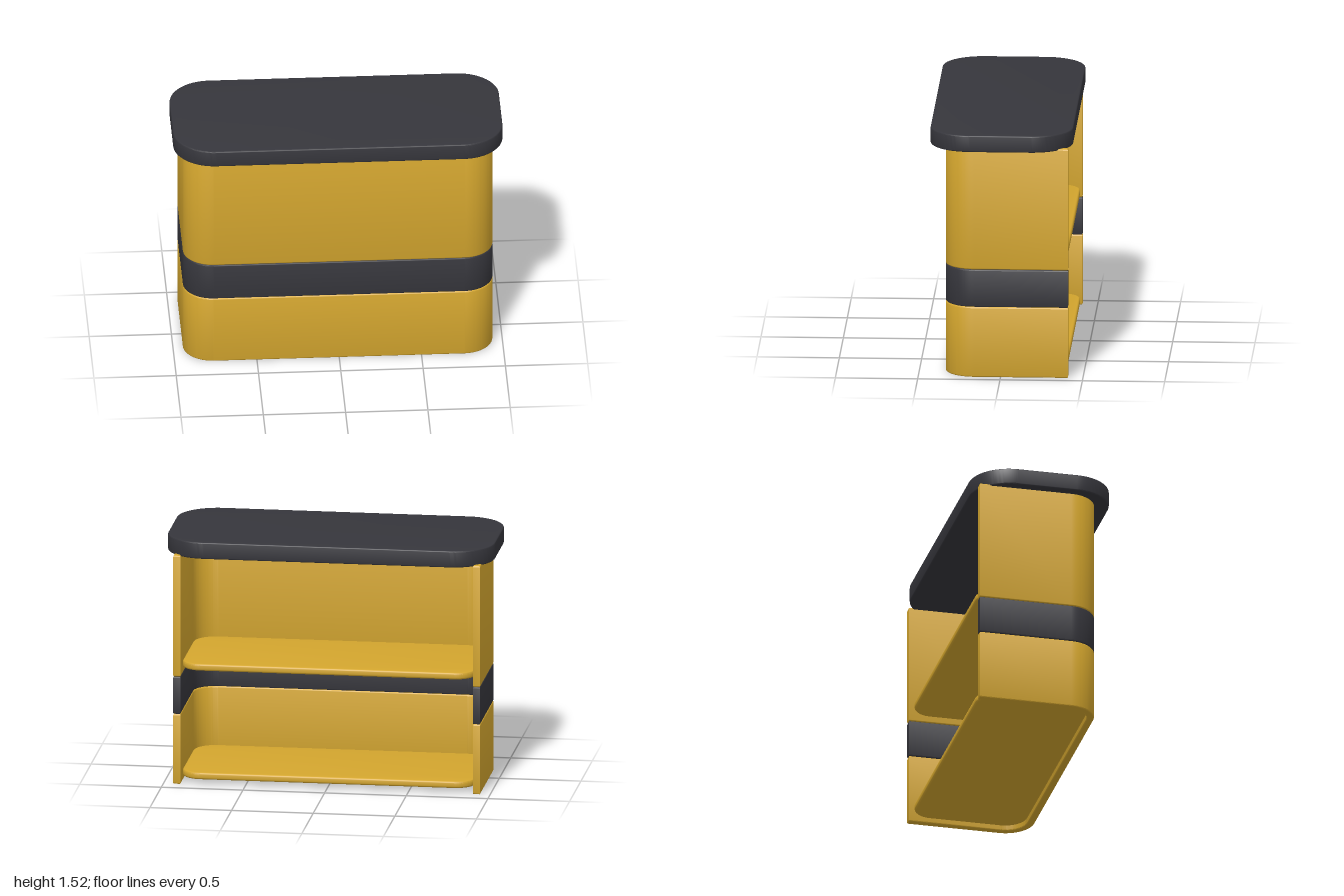
import * as THREE from 'three';
import { toCreasedNormals } from 'three/addons/utils/BufferGeometryUtils.js';

const HALF_WIDTH = 0.94, FRONT = 0.34, BACK = -0.41, WALL = 0.045;

// Rounded rectangle in plan (shape y = model z) with separate front and back radii
function roundedPlan(hx, back, front, rBack, rFront) {
  const s = new THREE.Shape();
  s.moveTo(-hx + rBack, back);
  s.lineTo(hx - rBack, back);
  s.absarc(hx - rBack, back + rBack, rBack, -Math.PI / 2, 0);
  s.lineTo(hx, front - rFront);
  s.absarc(hx - rFront, front - rFront, rFront, 0, Math.PI / 2);
  s.lineTo(-hx + rFront, front);
  s.absarc(-hx + rFront, front - rFront, rFront, Math.PI / 2, Math.PI);
  s.lineTo(-hx, back + rBack);
  s.absarc(-hx + rBack, back + rBack, rBack, Math.PI, Math.PI * 1.5);
  return s;
}

// U-shaped wall in plan, open at the back
function wallPlan() {
  const r = 0.18, ri = r - WALL, c = HALF_WIDTH - r, cz = FRONT - r, inner = HALF_WIDTH - WALL;
  const s = new THREE.Shape();
  s.moveTo(HALF_WIDTH, BACK);
  s.lineTo(HALF_WIDTH, cz);
  s.absarc(c, cz, r, 0, Math.PI / 2);
  s.lineTo(-c, FRONT);
  s.absarc(-c, cz, r, Math.PI / 2, Math.PI);
  s.lineTo(-HALF_WIDTH, BACK);
  s.lineTo(-inner, BACK);
  s.lineTo(-inner, cz);
  s.absarc(-c, cz, ri, Math.PI, Math.PI / 2, true);
  s.lineTo(c, FRONT - WALL);
  s.absarc(c, cz, ri, Math.PI / 2, 0, true);
  s.lineTo(inner, BACK);
  return s;
}

// Extrude a plan between two heights with softened edges
function slab(name, plan, y0, y1, bevel, material) {
  const geo = new THREE.ExtrudeGeometry(plan, {
    depth: y1 - y0 - 2 * bevel, curveSegments: 16,
    bevelEnabled: true, bevelSize: bevel, bevelThickness: bevel, bevelOffset: -bevel, bevelSegments: 3,
  });
  geo.rotateX(Math.PI / 2);
  geo.translate(0, y1 - bevel, 0);
  const mesh = new THREE.Mesh(toCreasedNormals(geo, 0.6), material);
  mesh.name = name;
  return mesh;
}

export function createModel() {
  const yellow = new THREE.MeshStandardMaterial({ color: 0xd4a62e });
  yellow.name = 'mustard yellow';
  const dark = new THREE.MeshStandardMaterial({ color: 0x36363c });
  dark.name = 'charcoal';

  const group = new THREE.Group();
  group.name = 'counter';

  // Curved wall in three stacked sections
  const wall = wallPlan();
  group.add(
    slab('lowerWall', wall, 0, 0.438, 0.008, yellow),
    slab('wallBand', wall, 0.438, 0.672, 0.008, dark),
    slab('upperWall', wall, 0.672, 1.43, 0.008, yellow),
  );

  // Shelves set inside the wall
  const shelf = roundedPlan(HALF_WIDTH - WALL + 0.002, -0.4, FRONT - WALL + 0.002, 0.12, 0.14);
  group.add(
    slab('bottomShelf', shelf, 0.03, 0.073, 0.012, yellow),
    slab('middleShelf', shelf, 0.71, 0.753, 0.012, yellow),
  );

  // Overhanging worktop
  group.add(slab('worktop', roundedPlan(1, -0.433, 0.433, 0.25, 0.25), 1.42, 1.523, 0.008, dark));
  return group;
}
